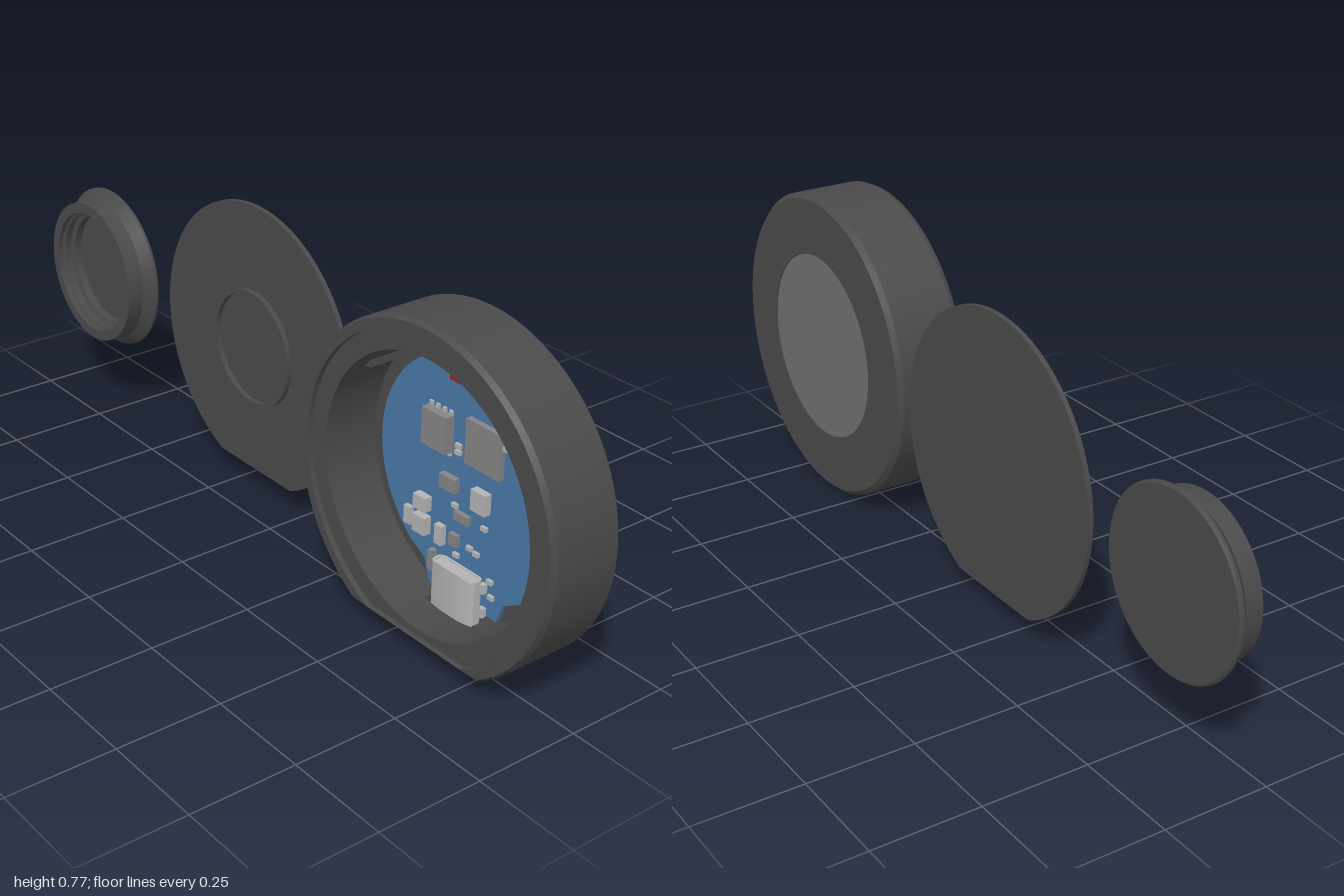
import * as THREE from 'three';
import { toCreasedNormals } from 'three/addons/utils/BufferGeometryUtils.js';

const mat = (color) => new THREE.MeshStandardMaterial({ color, roughness: 0.7 });
const dark = mat(0x4a4a4a), glass = mat(0x707070), blue = mat(0x4a78a8);
const chip = mat(0x858585), metal = mat(0xb4b4b4), red = mat(0xaa1a1a), black = mat(0x333333);

function add(parent, name, geometry, material, x = 0, y = 0, z = 0) {
  const mesh = new THREE.Mesh(geometry, material);
  mesh.name = name;
  mesh.position.set(x, y, z);
  parent.add(mesh);
  return mesh;
}

// Turned part around the z axis; points are [radius, z], from back to front
function turned(points) {
  const g = new THREE.LatheGeometry(points.map(([r, z]) => new THREE.Vector2(r, z)), 96);
  g.rotateX(Math.PI / 2);
  return toCreasedNormals(g, 0.5);
}

// Extruded part between two z values
function slab(shape, z0, z1) {
  const g = new THREE.ExtrudeGeometry(shape, { depth: z1 - z0, bevelEnabled: false, curveSegments: 96 });
  g.translate(0, 0, z0);
  return g;
}

// Circle with its bottom cut flat at y = -d
function flatCircle(r, d, Type = THREE.Shape) {
  const h = Math.acos(d / r);
  const s = new Type();
  s.absarc(0, 0, r, -Math.PI / 2 + h, 1.5 * Math.PI - h, false);
  s.closePath();
  return s;
}

function roundedRect(w, h, r, Type = THREE.Shape) {
  const s = new Type(), x = w / 2 - r, y = h / 2 - r;
  s.absarc(x, y, r, 0, Math.PI / 2, false);
  s.absarc(-x, y, r, Math.PI / 2, Math.PI, false);
  s.absarc(-x, -y, r, Math.PI, 1.5 * Math.PI, false);
  s.absarc(x, -y, r, 1.5 * Math.PI, 2 * Math.PI, false);
  s.closePath();
  return s;
}

function makeHousing() {
  const g = new THREE.Group();
  g.name = 'housing';
  const R = 0.385, D = 0.33, inner = 0.31;

  // Round back plate with a window for the display
  add(g, 'backPlate', turned([[0, -0.089], [0.235, -0.089], [0.235, -0.092], [0.373, -0.092],
    [R, -0.08], [R, -0.07], [inner, -0.07], [inner, -0.058], [0, -0.058]]), dark);
  add(g, 'display', turned([[0, -0.091], [0.233, -0.091], [0.233, -0.088]]), glass);

  // Wall with a flat foot
  const wall = flatCircle(R, D);
  wall.holes.push(new THREE.Path().absarc(0, 0, inner, 0, Math.PI * 2, true));
  add(g, 'wallBack', slab(wall, -0.07, -0.049), dark);
  add(g, 'wallFront', slab(wall, -0.006, 0.079), dark);

  // Middle of the wall, open at the bottom for the socket
  const slot = 0.072, h = Math.asin(slot / inner);
  const open = new THREE.Shape();
  const a = Math.acos(D / R);
  open.absarc(0, 0, R, -Math.PI / 2 + a, 1.5 * Math.PI - a, false);
  open.lineTo(-slot, -D);
  open.absarc(0, 0, inner, 1.5 * Math.PI - h, -Math.PI / 2 + h, true);
  open.lineTo(slot, -D);
  add(g, 'wallSlotted', slab(open, -0.049, -0.006), dark);

  // Front lip holding the cover, its outer edge softened
  const lip = flatCircle(R, D);
  lip.holes.push(flatCircle(0.357, 0.326, THREE.Path));
  const lipGeo = slab(lip, 0.079, 0.092);
  const p = lipGeo.attributes.position;
  for (let i = 0; i < p.count; i++) {
    const r = Math.hypot(p.getX(i), p.getY(i));
    if (p.getZ(i) > 0.09 && r > 0.37) {
      const k = (r - 0.006) / r;
      p.setXY(i, p.getX(i) * k, Math.max(p.getY(i) * k, -D));
    }
  }
  add(g, 'frontLip', toCreasedNormals(lipGeo, 0.4), dark);

  // Clips on the inside of the wall
  for (const s of [-1, 1]) {
    add(g, 'clip', new THREE.BoxGeometry(0.03, 0.05, 0.09), dark, s * 0.245, 0.215, -0.015);
  }
  g.add(makeBoard());
  return g;
}

function makeBoard() {
  const g = new THREE.Group();
  g.name = 'circuitBoard';
  const top = -0.045;

  // Round board with a tab towards the socket
  const s = new THREE.Shape();
  const h = Math.asin(0.165 / 0.272);
  s.absarc(0, 0, 0.272, -Math.PI / 2 + h, 1.5 * Math.PI - h, false);
  s.lineTo(-0.122, -0.24);
  s.lineTo(-0.105, -0.288);
  s.lineTo(0.105, -0.288);
  s.lineTo(0.122, -0.24);
  add(g, 'board', slab(s, -0.058, top), blue);

  // Components: name, x, y, width, height, depth, material
  const parts = [
    ['redConnector', 0, 0.235, 0.086, 0.028, 0.022, red],
    ['memoryChip', -0.085, 0.088, 0.074, 0.084, 0.024, chip],
    ['mainChip', 0.052, 0.098, 0.102, 0.102, 0.014, chip],
    ['button', 0.158, 0.147, 0.045, 0.058, 0.016, metal],
    ['regulator', -0.047, -0.022, 0.046, 0.032, 0.016, chip],
    ['coil', 0.05, -0.024, 0.043, 0.048, 0.018, metal],
    ['driver', -0.005, -0.088, 0.043, 0.02, 0.012, chip],
    ['capacitorA', -0.125, -0.102, 0.038, 0.034, 0.02, metal],
    ['capacitorB', -0.125, -0.154, 0.038, 0.042, 0.02, metal],
    ['capacitorC', -0.171, -0.154, 0.02, 0.042, 0.012, metal],
    ['diode', -0.069, -0.156, 0.022, 0.046, 0.014, metal],
    ['transistor', -0.026, -0.15, 0.024, 0.028, 0.012, chip],
    ['fuse', -0.09, -0.228, 0.014, 0.05, 0.014, chip],
  ];
  for (const [name, x, y, w, hh, d, m] of parts) {
    add(g, name, new THREE.BoxGeometry(w, hh, d), m, x, y, top + d / 2);
  }
  const cap = new THREE.CylinderGeometry(0.014, 0.014, 0.006, 20).rotateX(Math.PI / 2);
  add(g, 'buttonCap', cap, chip, 0.158, 0.147, top + 0.019);

  // Pins of the memory chip
  for (let i = 0; i < 4; i++) for (const side of [-1, 1]) {
    add(g, 'pin', new THREE.BoxGeometry(0.009, 0.09 / 9, 0.006), metal,
      -0.085 + (i - 1.5) * 0.02, 0.088 + side * 0.047, top + 0.003);
  }
  // Tiny resistors
  const tiny = [[-0.028, 0.07], [-0.028, 0.055], [0.075, 0.178], [0.095, 0.195], [0.135, 0.19],
    [0.165, 0.19], [0.11, 0.12], [0.02, -0.15], [0.04, -0.155], [-0.02, -0.185], [0.085, -0.2],
    [0.09, -0.235], [-0.03, -0.07], [0.06, -0.085]];
  for (const [x, y] of tiny) {
    add(g, 'resistor', new THREE.BoxGeometry(0.016, 0.01, 0.008), metal, x, y, top + 0.004);
  }

  // Socket shell opening downwards, with tongue and mounting legs
  const shell = roundedRect(0.13, 0.036, 0.014);
  shell.holes.push(roundedRect(0.118, 0.025, 0.01, THREE.Path));
  const shellGeo = new THREE.ExtrudeGeometry(shell, { depth: 0.108, bevelEnabled: false, curveSegments: 6 });
  shellGeo.rotateX(Math.PI / 2);
  add(g, 'socketShell', toCreasedNormals(shellGeo, 0.5), metal, 0, -0.204, top + 0.018);
  add(g, 'socketBack', new THREE.BoxGeometry(0.116, 0.02, 0.028), metal, 0, -0.216, top + 0.018);
  add(g, 'socketTongue', new THREE.BoxGeometry(0.085, 0.08, 0.008), black, 0, -0.262, top + 0.018);
  for (const sx of [-1, 1]) for (const y of [-0.222, -0.28]) {
    add(g, 'socketLeg', new THREE.BoxGeometry(0.014, 0.022, 0.012), metal, sx * 0.068, y, top + 0.006);
  }
  return g;
}

function makeCover() {
  const g = new THREE.Group();
  g.name = 'cover';
  add(g, 'coverPlate', slab(flatCircle(0.353, 0.325), -0.094, -0.082), dark);
  // Low raised ring
  add(g, 'coverRing', turned([[0.145, -0.083], [0.145, -0.069], [0.136, -0.069], [0.136, -0.083]]), dark);
  return g;
}

function makeCap() {
  // Flanged cup, open to the front with a stepped bore
  const g = new THREE.Group();
  g.name = 'cap';
  add(g, 'capBody', turned([[0, -0.093], [0.202, -0.093], [0.207, -0.089], [0.207, -0.083], [0.182, -0.06],
    [0.182, -0.018], [0.156, -0.018], [0.156, -0.03], [0.148, -0.034], [0.148, -0.044],
    [0.156, -0.048], [0.156, -0.056], [0.142, -0.06], [0.142, -0.08], [0, -0.08]]), dark);
  return g;
}

export function createModel() {
  const model = new THREE.Group();
  model.name = 'displayDeviceParts';
  const pieces = [[makeHousing(), 0.615], [makeCover(), -0.17], [makeCap(), -0.793]];
  for (const [piece, x] of pieces) {
    piece.position.set(x, 0.385, 0);
    model.add(piece);
  }
  return model;
}
